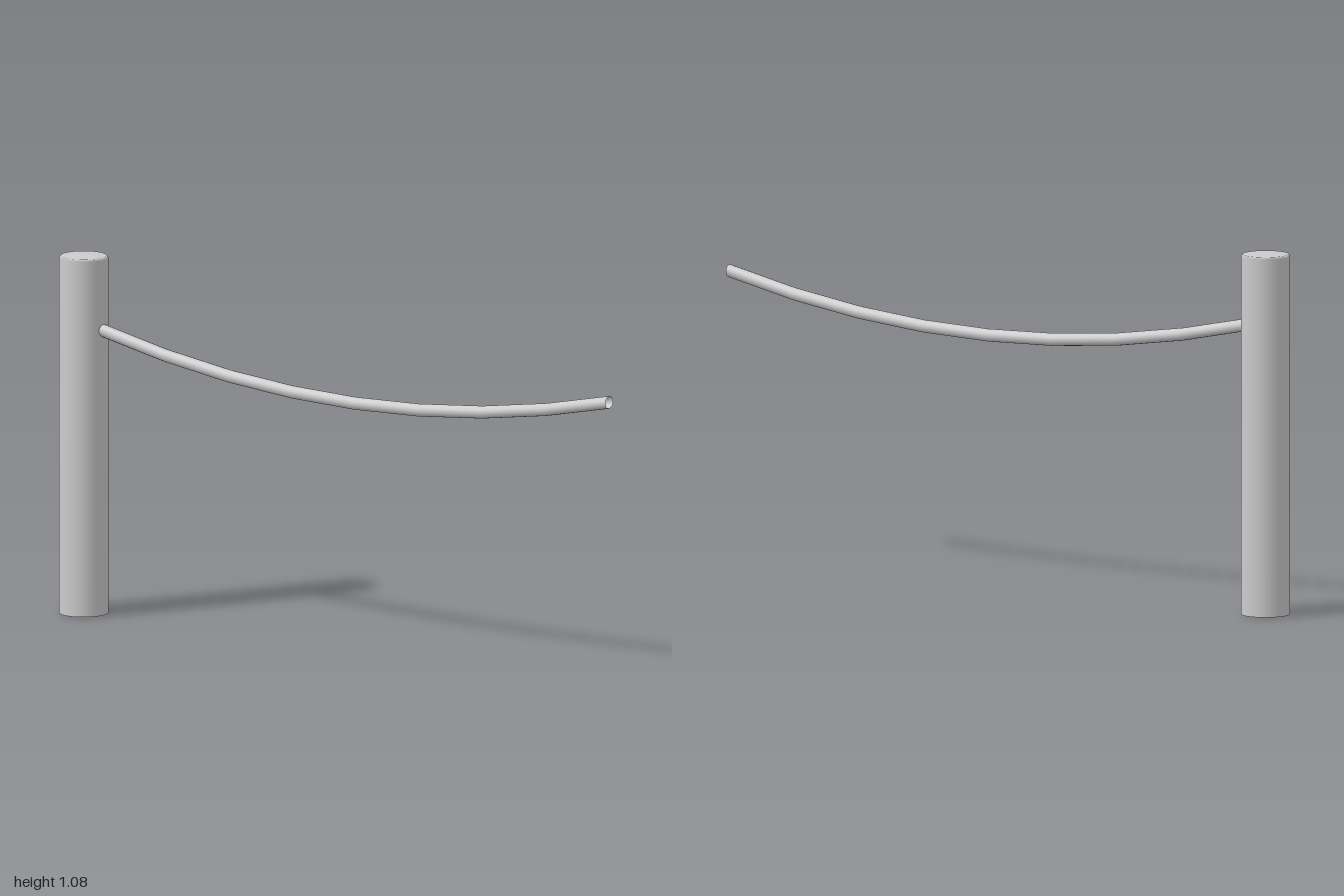
import * as THREE from 'three';
import { mergeVertices } from 'three/addons/utils/BufferGeometryUtils.js';

const POST_RADIUS = 0.073, POST_HEIGHT = 1.075, POST_X = -0.927;
const ROPE_START = -0.86, ROPE_END = 1, ROPE_RADIUS = 0.019;
const ROPE_END_Y = 0.858, ROPE_SAG = 0.112;

// Round post, open underneath, with a softened top edge
function makePost(material) {
  const profile = [
    [POST_RADIUS, 0],
    [POST_RADIUS, POST_HEIGHT - 0.006],
    [POST_RADIUS - 0.005, POST_HEIGHT],
    [0, POST_HEIGHT],
  ].map(([r, y]) => new THREE.Vector2(r, y));
  const post = new THREE.Mesh(new THREE.LatheGeometry(profile, 32), material);
  post.name = 'post';
  post.position.x = POST_X;
  return post;
}

// Open tube sagging in a parabola, its cross-sections kept vertical
function makeRope(material) {
  const length = ROPE_END - ROPE_START, middle = (ROPE_START + ROPE_END) / 2;
  let geometry = new THREE.CylinderGeometry(ROPE_RADIUS, ROPE_RADIUS, length, 16, 8, true);
  geometry.rotateZ(-Math.PI / 2);
  const p = geometry.attributes.position;
  for (let i = 0; i < p.count; i++) {
    const t = p.getX(i) / (length / 2);
    p.setY(i, p.getY(i) + ROPE_END_Y - ROPE_SAG * (1 - t * t));
  }
  geometry.translate(middle, 0, 0);
  // Weld the seam so the shading stays smooth all round
  geometry.deleteAttribute('uv');
  geometry.deleteAttribute('normal');
  geometry = mergeVertices(geometry);
  geometry.computeVertexNormals();
  const rope = new THREE.Mesh(geometry, material);
  rope.name = 'hangingRope';
  return rope;
}

export function createModel() {
  const material = new THREE.MeshStandardMaterial({ color: 0xcccccc, side: THREE.DoubleSide });
  const model = new THREE.Group();
  model.name = 'ropeBarrier';
  model.add(makePost(material), makeRope(material));
  return model;
}
